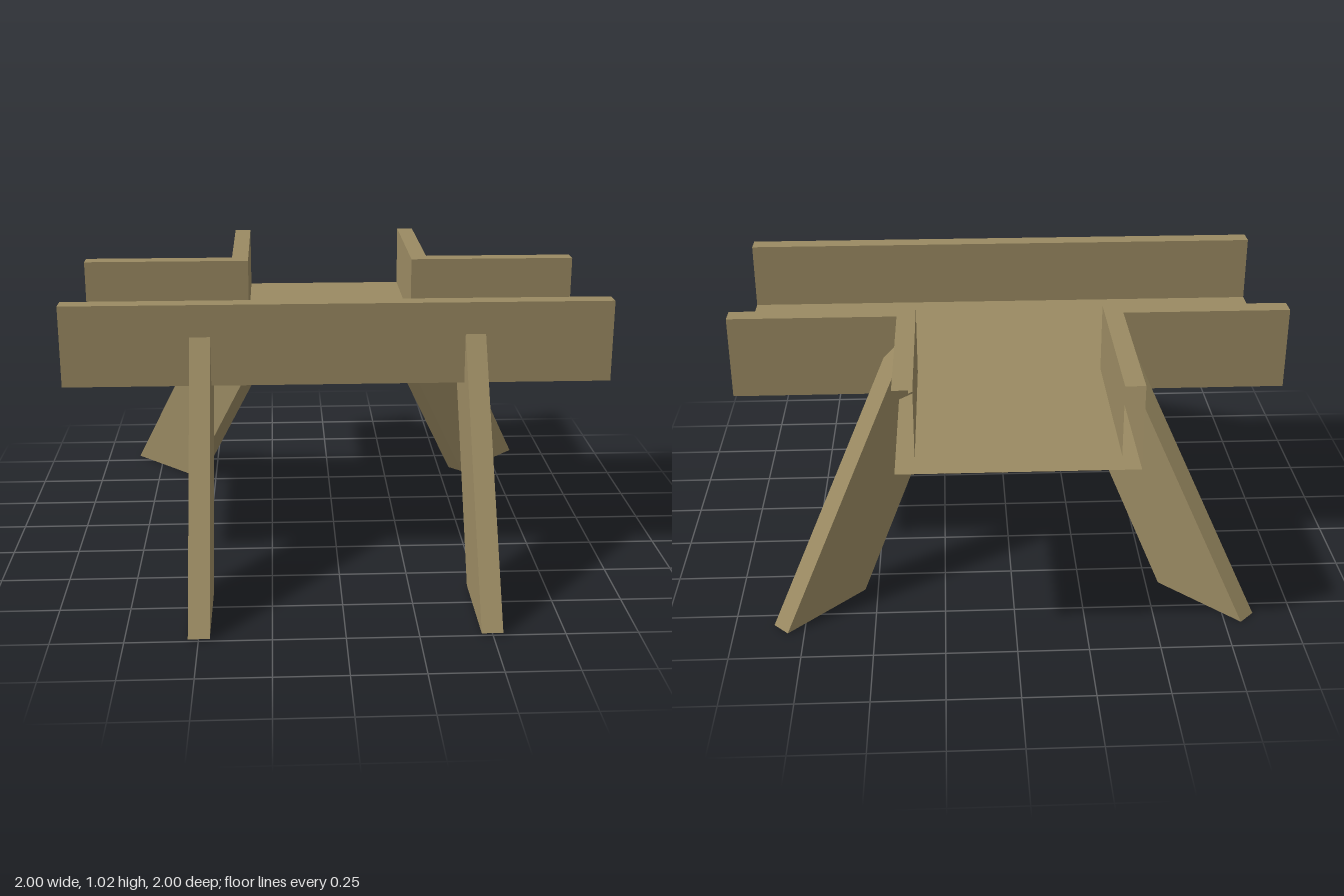
import * as THREE from 'three';

const wood = new THREE.MeshStandardMaterial({ color: 0x9a8a62, side: THREE.DoubleSide });
wood.name = 'brown wood';

const BOTTOM = 0.715, FLOOR = 0.767, TOP = 1.016;
const OUT = 0.402, IN = 0.335; // outer and inner wall faces

// Flat-shaded strip of quads between two paths of [x, z] points at two heights
function ribbon(pathA, yA, pathB, yB) {
  const pos = [];
  for (let i = 0; i + 1 < pathA.length; i++) {
    const [a0, a1] = [pathA[i], pathA[i + 1]].map(([x, z]) => [x, yA, z]);
    const [b0, b1] = [pathB[i], pathB[i + 1]].map(([x, z]) => [x, yB, z]);
    pos.push(...a0, ...a1, ...b1, ...a0, ...b1, ...b0);
  }
  const geo = new THREE.BufferGeometry();
  geo.setAttribute('position', new THREE.Float32BufferAttribute(pos, 3));
  geo.computeVertexNormals();
  return geo;
}

function add(parent, geo, name) {
  const mesh = new THREE.Mesh(geo, wood);
  mesh.name = name;
  parent.add(mesh);
  return mesh;
}

// T-shaped sheet; facing is +1 for up and -1 for down
function sheet(halfWidth, y, facing) {
  const pts = [[-1, halfWidth], [1, halfWidth], [1, -halfWidth], [halfWidth, -halfWidth],
    [halfWidth, -1], [-halfWidth, -1], [-halfWidth, -halfWidth], [-1, -halfWidth]];
  const shape = new THREE.Shape(pts.map(([x, z]) => new THREE.Vector2(x, -z * facing)));
  return new THREE.ShapeGeometry(shape).rotateX(-facing * Math.PI / 2).translate(0, y, 0);
}

// Hollow wall, open at its ends
function wall(outer, inner, name) {
  const g = new THREE.Group();
  g.name = name;
  add(g, ribbon(outer, BOTTOM, outer, TOP), 'wallOutside');
  add(g, ribbon(outer, TOP, inner, TOP), 'wallTop');
  add(g, ribbon(inner, TOP, inner, FLOOR), 'wallInside');
  return g;
}

// Slanted hollow leg reaching out along +z, notched to fit under the tray
function leg(name) {
  const g = new THREE.Group();
  g.name = name;
  const w = 0.037, y0 = 0.008;
  const edge = z => [[-w, z], [w, z]];
  const profile = [[1, y0], [0.38, 0.93], [0.38, 0.73], [0.16, 0.73], [0.63, y0]];
  const shape = new THREE.Shape(profile.map(([z, y]) => new THREE.Vector2(z, y)));
  const side = new THREE.ShapeGeometry(shape).rotateY(-Math.PI / 2).translate(-w, 0, 0);
  add(g, side, 'legSide');
  add(g, side, 'legSide').scale.x = -1;
  add(g, ribbon(edge(1), y0, edge(0.38), 0.93), 'legOuterEdge');
  add(g, ribbon(edge(0.16), 0.73, edge(0.63), y0), 'legInnerEdge');
  return g;
}

export function createModel() {
  const model = new THREE.Group();
  model.name = 'raisedChannelJunction';

  // Channel floor
  add(model, sheet(OUT, BOTTOM, -1), 'floorUnderside');
  add(model, sheet(IN, FLOOR, 1), 'floorTop');

  // Walls: one straight in front, two corner walls behind
  model.add(wall([[-1, OUT], [1, OUT]], [[-1, IN], [1, IN]], 'frontWall'));
  const corner = d => [[1, -d], [d, -d], [d, -1]];
  const mirrored = d => corner(d).map(([x, z]) => [-x, z]).reverse();
  model.add(wall(corner(OUT), corner(IN), 'backLeftWall'));
  model.add(wall(mirrored(OUT), mirrored(IN), 'backRightWall'));

  // Legs: a straight pair in front, a diagonal pair behind
  for (const s of [1, -1]) {
    const label = s > 0 ? 'Left' : 'Right';
    const front = leg('front' + label + 'Leg');
    front.position.x = s * 0.498;
    const back = leg('back' + label + 'Leg');
    back.rotation.y = s * Math.PI * 0.75;
    back.position.set(s * 0.128, -0.008, -0.128);
    model.add(front, back);
  }
  return model;
}
